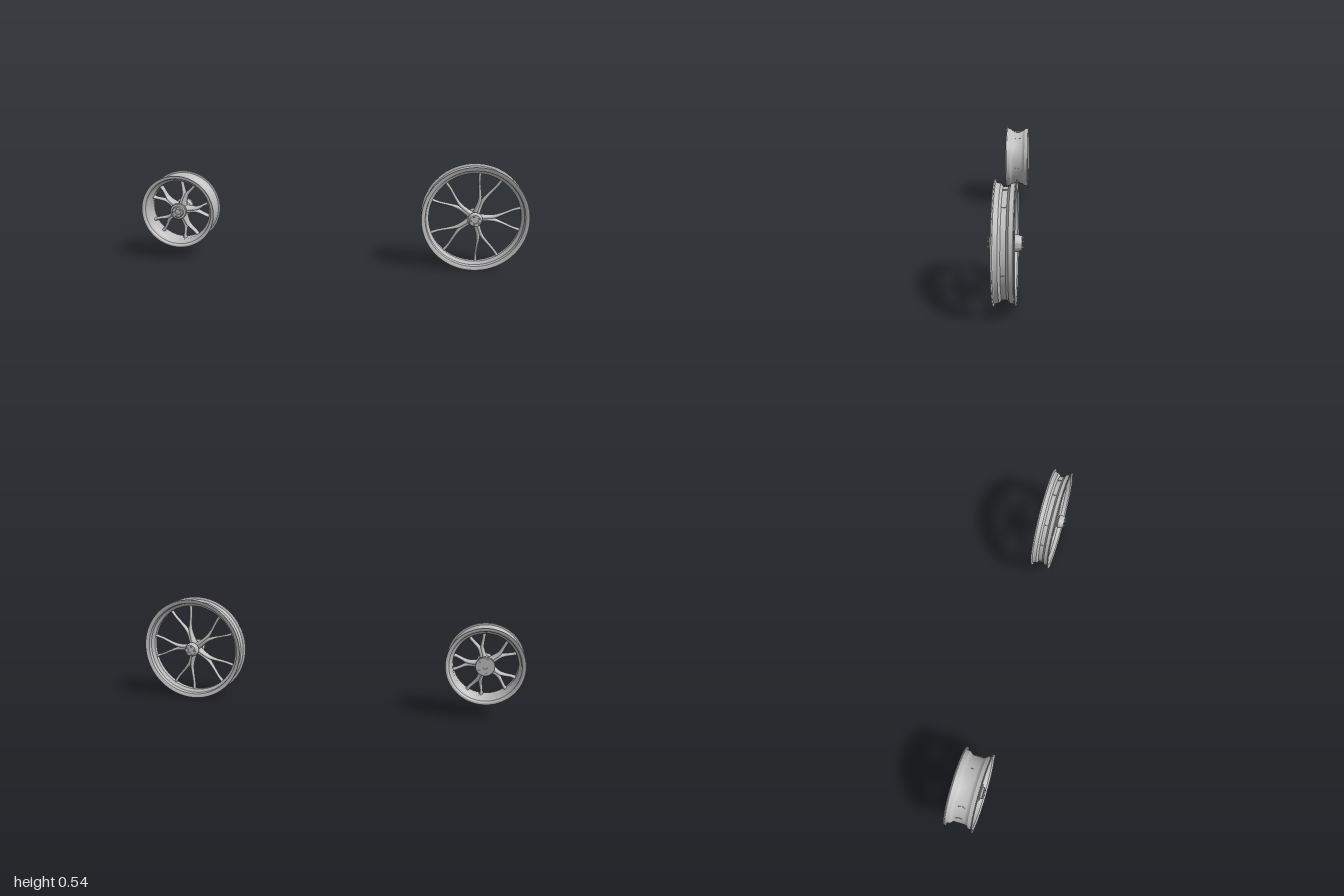
import * as THREE from 'three';
import { toCreasedNormals } from 'three/addons/utils/BufferGeometryUtils.js';

const metal = new THREE.MeshStandardMaterial({ color: 0xbfbfbf });
metal.name = 'silver metal';

function addMesh(parent, name, geometry) {
  const mesh = new THREE.Mesh(geometry, metal);
  mesh.name = name;
  parent.add(mesh);
  return mesh;
}

// Turns a [radius, z] profile about the z axis; outer side runs towards +z.
function turned(profile, segments) {
  const points = profile.map(([r, z]) => new THREE.Vector2(r, z));
  const geometry = new THREE.LatheGeometry(points, segments).rotateX(Math.PI / 2);
  return toCreasedNormals(geometry, 0.5);
}

// Rim: outer half profile mirrored, closed by the inner half profile.
function rimGeometry(outer, inner) {
  const flip = (list) => list.map(([r, z]) => [r, -z]).reverse();
  const loop = [...flip(outer), ...outer, ...inner, ...flip(inner)];
  return turned([...loop, loop[0]], 96);
}

// Oval-section arm along stations [x, y, halfWidth, halfDepth].
function armGeometry(stations, side) {
  const rows = 18, sides = 12;
  const path = new THREE.CatmullRomCurve3(stations.map(([x, y]) => new THREE.Vector3(x, y * side, 0)));
  const size = new THREE.CatmullRomCurve3(stations.map(([, , w, d], i) => new THREE.Vector3(w, d, i)));
  const positions = [], indices = [];
  for (let i = 0; i <= rows; i++) {
    const t = i / rows, c = path.getPoint(t), s = size.getPoint(t), dir = path.getTangent(t);
    for (let j = 0; j < sides; j++) {
      const a = (j / sides) * Math.PI * 2, across = Math.cos(a) * s.x;
      positions.push(c.x - dir.y * across, c.y + dir.x * across, Math.sin(a) * s.y);
      if (i === rows) continue;
      const p = i * sides + j, q = i * sides + ((j + 1) % sides);
      indices.push(p, q, p + sides, q, q + sides, p + sides);
    }
  }
  const geometry = new THREE.BufferGeometry();
  geometry.setAttribute('position', new THREE.Float32BufferAttribute(positions, 3));
  geometry.setIndex(indices);
  geometry.computeVertexNormals();
  return geometry;
}

// Five forked spokes, each of two mirrored arms that share a stem.
function addSpokes(wheel, stations) {
  const arms = [armGeometry(stations, 1), armGeometry(stations, -1)];
  for (let i = 0; i < 5; i++) {
    const spoke = new THREE.Group();
    spoke.name = 'forkedSpoke';
    arms.forEach((arm) => addMesh(spoke, 'spokeArm', arm));
    spoke.rotation.z = (i * Math.PI * 2) / 5;
    wheel.add(spoke);
  }
}

// Ring of five bolt heads on one face of the hub.
function addBolts(wheel, radius, z, size, height) {
  const geometry = new THREE.CylinderGeometry(size, size, height, 10).rotateX(Math.PI / 2);
  for (let i = 0; i < 5; i++) {
    const a = ((i + 0.5) * Math.PI * 2) / 5;
    addMesh(wheel, 'hubBolt', geometry).position.set(radius * Math.cos(a), radius * Math.sin(a), z);
  }
}

function makeLargeWheel() {
  const wheel = new THREE.Group();
  wheel.name = 'largeWheel';
  addMesh(wheel, 'rim', rimGeometry(
    [[0.238, 0.011], [0.252, 0.021], [0.254, 0.036], [0.258, 0.041], [0.267, 0.043], [0.27, 0.046]],
    [[0.268, 0.049], [0.258, 0.048], [0.249, 0.043], [0.246, 0.023], [0.231, 0.012]]));
  addSpokes(wheel, [
    [0.02, 0.004, 0.016, 0.026], [0.06, 0.005, 0.011, 0.021], [0.1, 0.009, 0.009, 0.017],
    [0.14, 0.024, 0.007, 0.013], [0.19, 0.046, 0.0065, 0.011], [0.234, 0.059, 0.008, 0.012]]);
  // Hub tapers out on both sides to a bolted face with a bore
  addMesh(wheel, 'hub', turned([
    [0.014, -0.07], [0.029, -0.07], [0.031, -0.068], [0.037, -0.048], [0.037, -0.04], [0.028, -0.032],
    [0.028, 0.032], [0.037, 0.04], [0.037, 0.048], [0.031, 0.068], [0.029, 0.07], [0.014, 0.07],
    [0.014, -0.07]], 48));
  addMesh(wheel, 'axleSleeve', new THREE.CylinderGeometry(0.015, 0.015, 0.128, 32).rotateX(Math.PI / 2));
  for (const z of [0.074, -0.074]) addBolts(wheel, 0.022, z, 0.0035, 0.01);
  return wheel;
}

function makeSmallWheel() {
  const wheel = new THREE.Group();
  wheel.name = 'smallWheel';
  addMesh(wheel, 'rim', rimGeometry(
    [[0.165, 0.026], [0.168, 0.034], [0.178, 0.044], [0.181, 0.06], [0.184, 0.063], [0.192, 0.064], [0.194, 0.067]],
    [[0.192, 0.07], [0.183, 0.069], [0.175, 0.062], [0.171, 0.045], [0.16, 0.034], [0.158, 0.026]]));
  addSpokes(wheel, [
    [0.02, 0.005, 0.018, 0.042], [0.05, 0.005, 0.012, 0.034], [0.085, 0.007, 0.01, 0.026],
    [0.115, 0.02, 0.008, 0.02], [0.14, 0.032, 0.008, 0.018], [0.162, 0.038, 0.01, 0.019]]);
  // Flat bolted disc at the back, stepped boss at the front
  addMesh(wheel, 'hub', turned([
    [0.012, -0.064], [0.046, -0.064], [0.048, -0.062], [0.048, -0.05], [0.036, -0.04], [0.034, 0.035],
    [0.043, 0.045], [0.043, 0.056], [0.04, 0.059], [0.03, 0.06], [0.029, 0.069], [0.027, 0.071],
    [0.014, 0.071], [0.012, -0.064]], 48));
  addMesh(wheel, 'axleSleeve', new THREE.CylinderGeometry(0.016, 0.016, 0.12, 32).rotateX(Math.PI / 2));
  addBolts(wheel, 0.021, 0.073, 0.0035, 0.01);
  addBolts(wheel, 0.035, -0.065, 0.0045, 0.006);
  return wheel;
}

export function createModel() {
  const model = new THREE.Group();
  model.name = 'wheelPair';
  const large = makeLargeWheel();
  large.position.set(0.73, 0.27, 0);
  const small = makeSmallWheel();
  small.position.set(-0.806, 0.268, 0);
  model.add(large, small);
  return model;
}
